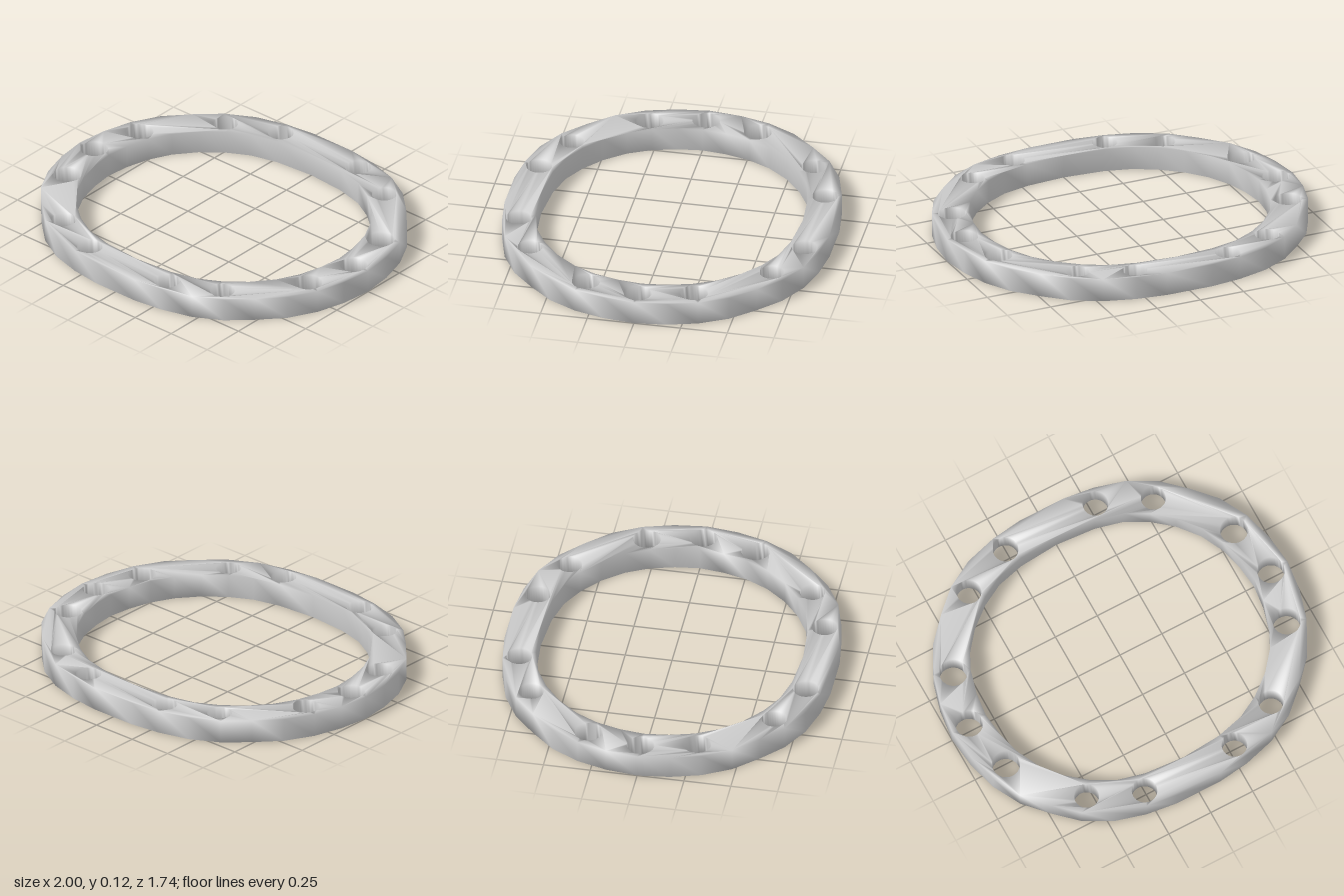
import * as THREE from 'three';
import { mergeVertices } from 'three/addons/utils/BufferGeometryUtils.js';

const HEIGHT = 0.125;

// One quarter of each outline, from the side (x axis) towards the back
const OUTER = [[1, 0], [0.98, 0.17], [0.935, 0.33], [0.855, 0.48], [0.74, 0.605],
  [0.62, 0.717], [0.47, 0.8], [0.3, 0.848], [0.13, 0.87]];
const INNER = [[0.8, 0], [0.785, 0.13], [0.75, 0.26], [0.69, 0.38], [0.6, 0.49],
  [0.49, 0.58], [0.37, 0.645], [0.22, 0.683], [0, 0.7]];

// Holes as x, z, radius; mirrored into all four quarters
const HOLES = [[0.9, 0, 0.073], [0.837, 0.29, 0.074], [0.55, 0.648, 0.066], [0.268, 0.765, 0.068]];

// Mirrors a quarter outline into a closed loop without repeated points
function loop(quarter) {
  const half = [...quarter, ...quarter.filter(([x]) => x > 0).reverse().map(([x, y]) => [-x, y])];
  const rest = half.filter(([, y]) => y > 0).reverse().map(([x, y]) => [x, -y]);
  return [...half, ...rest].map(([x, y]) => new THREE.Vector2(x, y));
}

export function createModel() {
  const group = new THREE.Group();
  group.name = 'perforatedRing';

  // Oval band with a large opening
  const shape = new THREE.Shape(loop(OUTER));
  shape.holes.push(new THREE.Path(loop(INNER)));

  // Round through holes
  for (const [x, z, r] of HOLES) {
    for (const sx of [1, -1]) {
      for (const sz of z > 0 ? [1, -1] : [1]) {
        shape.holes.push(new THREE.Path().absarc(sx * x, sz * z, r, 0, Math.PI * 2, true));
      }
    }
  }

  let geometry = new THREE.ExtrudeGeometry(shape, { depth: HEIGHT, bevelEnabled: false, curveSegments: 16 });
  geometry.rotateX(-Math.PI / 2);

  // Share vertices so the shading runs smoothly over the edges
  geometry.deleteAttribute('normal');
  geometry.deleteAttribute('uv');
  geometry = mergeVertices(geometry, 1e-5);
  geometry.computeVertexNormals();

  const ring = new THREE.Mesh(geometry, new THREE.MeshStandardMaterial({ color: 0xcccccc }));
  ring.name = 'ring';
  group.add(ring);
  return group;
}
